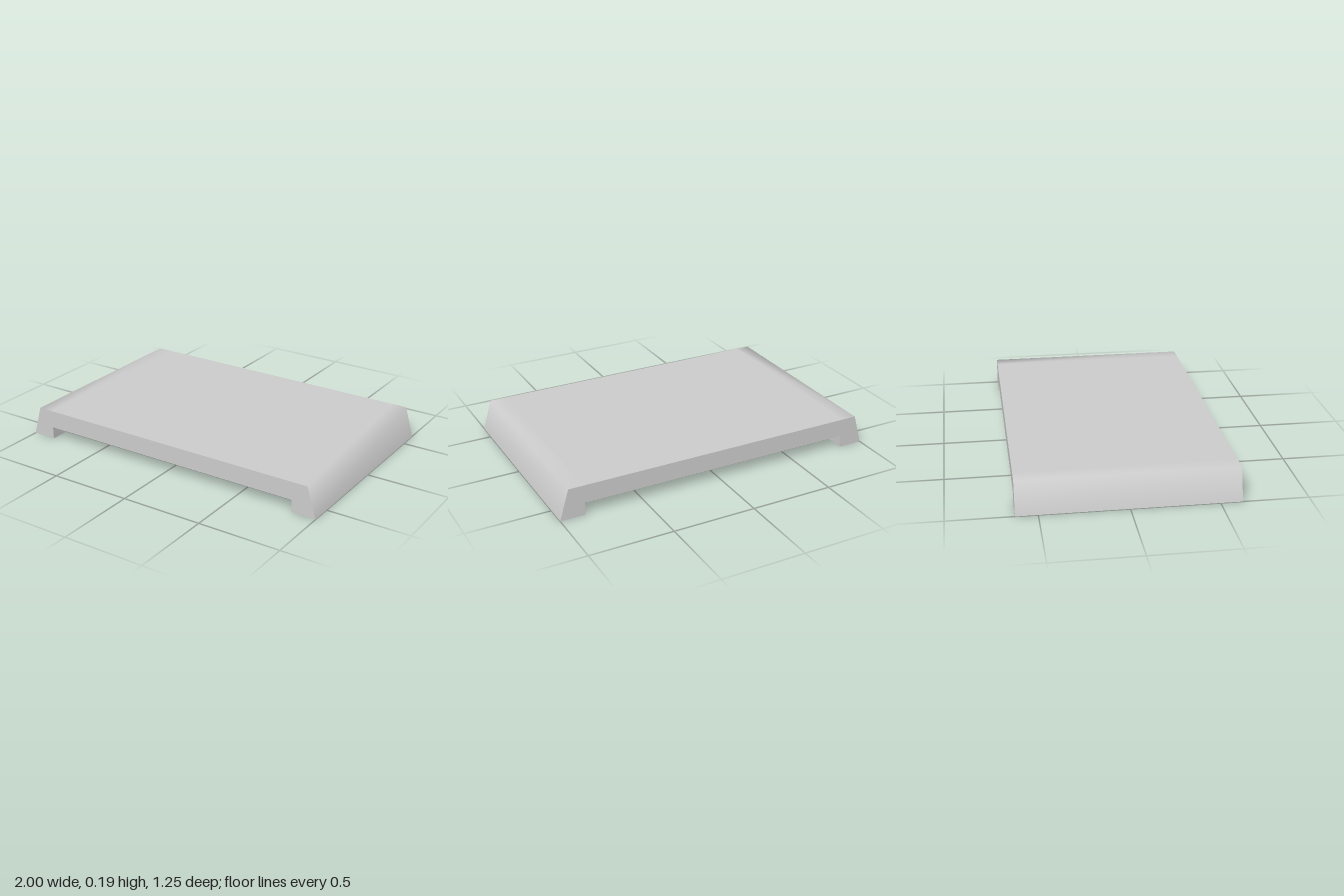
import * as THREE from 'three';
import { toCreasedNormals } from 'three/addons/utils/BufferGeometryUtils.js';

const DEPTH = 1.25;        // front to back
const TOP = 0.185;         // height of the top surface
const CEILING = 0.17;      // floor level of the pockets
const UNDERSIDE = 0.075;   // bottom of the deck between the feet
const FOOT = 0.85;         // inner edge of the feet

function shapeFrom(points) {
  return new THREE.Shape(points.map(([x, y]) => new THREE.Vector2(x, y)));
}

// Rectangle in plan; the second coordinate becomes z
function rectangle(x, z, w, d) {
  return [[x - w / 2, z - d / 2], [x + w / 2, z - d / 2], [x + w / 2, z + d / 2], [x - w / 2, z + d / 2]];
}

export function createModel() {
  const group = new THREE.Group();
  group.name = 'platform';
  const material = new THREE.MeshStandardMaterial({ color: 0xcccccc });

  function add(name, geometry) {
    const mesh = new THREE.Mesh(geometry, material);
    mesh.name = name;
    group.add(mesh);
  }

  // Top plate with sloping sides running down into the two feet
  const half = [[FOOT, CEILING], [FOOT, 0], [1, 0], [0.945, TOP], [FOOT, TOP]];
  const mirrored = half.map(([x, y]) => [-x, y]).reverse();
  const shell = new THREE.ExtrudeGeometry(shapeFrom([...half, ...mirrored]), {
    depth: DEPTH, bevelEnabled: false,
  });
  shell.translate(0, 0, -DEPTH / 2);
  // Soft shading over the top edges, all other corners sharp
  add('topPlateWithFeet', toCreasedNormals(shell, THREE.MathUtils.degToRad(80)));

  // Thick panel below the plate, with three rectangular pockets
  const panelShape = shapeFrom(rectangle(0, 0, 2 * FOOT, DEPTH));
  for (const x of [-0.545, 0, 0.545]) {
    panelShape.holes.push(shapeFrom(rectangle(x, 0.15, 0.35, 0.6)));
  }
  const panel = new THREE.ExtrudeGeometry(panelShape, {
    depth: CEILING - UNDERSIDE, bevelEnabled: false,
  });
  panel.rotateX(Math.PI / 2).translate(0, CEILING, 0);
  add('undersidePanel', panel);

  return group;
}
